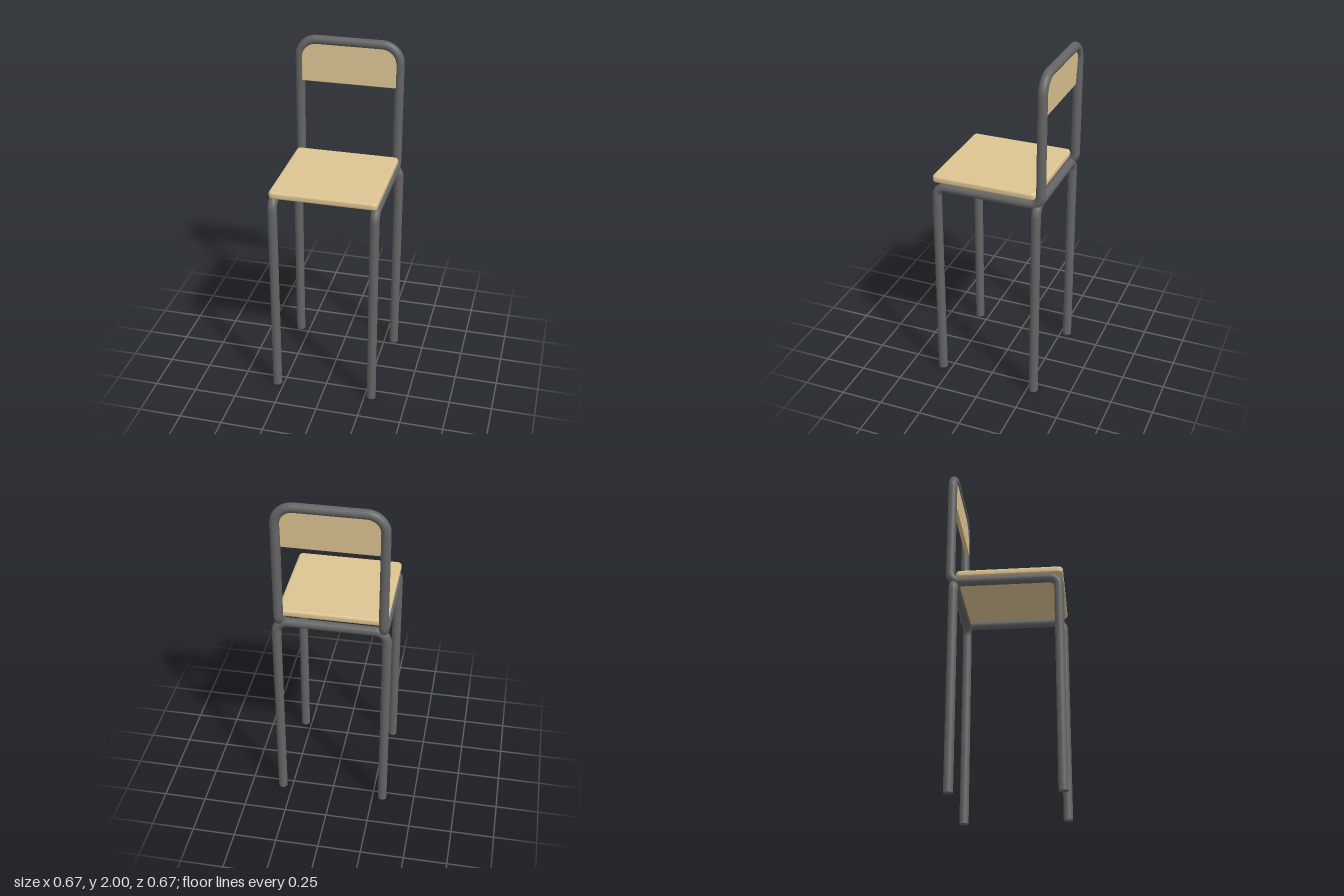
import * as THREE from 'three';

const steel = new THREE.MeshStandardMaterial({ color: 0x646464 });
const wood = new THREE.MeshStandardMaterial({ color: 0xdcc391 });
const R = 0.0265; // tube radius
const V = (x, y, z) => new THREE.Vector3(x, y, z);

// Path whose samples sit exactly on its straights and rounded bends
class BentPath extends THREE.Curve {
  constructor(corners, radii) {
    super();
    this.points = [];
    this.tangents = [];
    const dir = (a, b) => b.clone().sub(a).normalize();
    const add = (p, t) => { this.points.push(p); this.tangents.push(t); };
    const last = corners.length - 1;
    add(corners[0], dir(corners[0], corners[1]));
    for (let i = 1; i < last; i++) {
      const c = corners[i], r = radii[i - 1];
      const u = dir(corners[i - 1], c), v = dir(c, corners[i + 1]);
      const centre = c.clone().addScaledVector(u, -r).addScaledVector(v, r);
      for (let k = 0; k <= 12; k++) {
        const a = (k / 12) * Math.PI / 2;
        add(centre.clone().addScaledVector(u, r * Math.sin(a)).addScaledVector(v, -r * Math.cos(a)),
          u.clone().multiplyScalar(Math.cos(a)).addScaledVector(v, Math.sin(a)));
      }
    }
    add(corners[last], dir(corners[last - 1], corners[last]));
  }
  index(t) { return Math.round(t * (this.points.length - 1)); }
  getPoint(t) { return this.points[this.index(t)].clone(); }
  getPointAt(t) { return this.getPoint(t); }
  getTangentAt(t) { return this.tangents[this.index(t)].clone(); }
}

// Bent steel tube with closed feet at both ends
function tubeFrame(name, corners, radii) {
  const group = new THREE.Group();
  group.name = name;
  const path = new BentPath(corners, radii);
  const tube = new THREE.Mesh(new THREE.TubeGeometry(path, path.points.length - 1, R, 24), steel);
  tube.name = name + 'Tube';
  group.add(tube);
  for (const end of [corners[0], corners[corners.length - 1]]) {
    const foot = new THREE.Mesh(new THREE.CircleGeometry(R, 24).rotateX(Math.PI / 2), steel);
    foot.position.copy(end);
    foot.name = 'footCap';
    group.add(foot);
  }
  return group;
}

// Flat board in XY with separate bottom and top corner radii and softened edges
function board(name, w, h, depth, bottomR, topR, bevel) {
  const x = w / 2 - bevel, y = h / 2 - bevel, s = new THREE.Shape();
  s.moveTo(-x + bottomR, -y);
  s.absarc(x - bottomR, -y + bottomR, bottomR, -Math.PI / 2, 0);
  s.absarc(x - topR, y - topR, topR, 0, Math.PI / 2);
  s.absarc(-x + topR, y - topR, topR, Math.PI / 2, Math.PI);
  s.absarc(-x + bottomR, -y + bottomR, bottomR, Math.PI, Math.PI * 1.5);
  const geo = new THREE.ExtrudeGeometry(s, {
    depth: depth - 2 * bevel, bevelEnabled: true, bevelSize: bevel,
    bevelThickness: bevel, bevelSegments: 4, curveSegments: 10,
  });
  geo.translate(0, 0, bevel - depth / 2);
  const mesh = new THREE.Mesh(geo, wood);
  mesh.name = name;
  return mesh;
}

export function createModel() {
  const model = new THREE.Group();
  model.name = 'chair';

  // Front legs, side rails and back hoop in one continuous tube
  const x = 0.29, rail = 1.243, front = 0.308, back = -0.308, top = 2 - R;
  model.add(tubeFrame('mainFrame', [
    V(x, 0, front), V(x, rail, front), V(x, rail, back), V(x, top, back),
    V(-x, top, back), V(-x, rail, back), V(-x, rail, front), V(-x, 0, front),
  ], [0.055, 0.055, 0.1, 0.1, 0.055, 0.055]));

  // Rear legs joined by a crossbar under the seat
  const rx = 0.309, rz = -0.288;
  model.add(tubeFrame('rearLegs', [
    V(rx, 0, rz), V(rx, rail, rz), V(-rx, rail, rz), V(-rx, 0, rz),
  ], [0.065, 0.065]));

  // Seat board resting on the rails
  const seat = board('seat', 0.612, 0.612, 0.042, 0.012, 0.012, 0.014);
  seat.rotation.x = -Math.PI / 2;
  seat.position.set(0, 1.289, 0.027);
  model.add(seat);

  // Backrest panel held inside the hoop, leaning back slightly
  const backrest = board('backrest', 0.55, 0.235, 0.025, 0.006, 0.08, 0.005);
  backrest.rotation.x = -0.05;
  backrest.position.set(0, 1.848, -0.298);
  model.add(backrest);

  return model;
}
